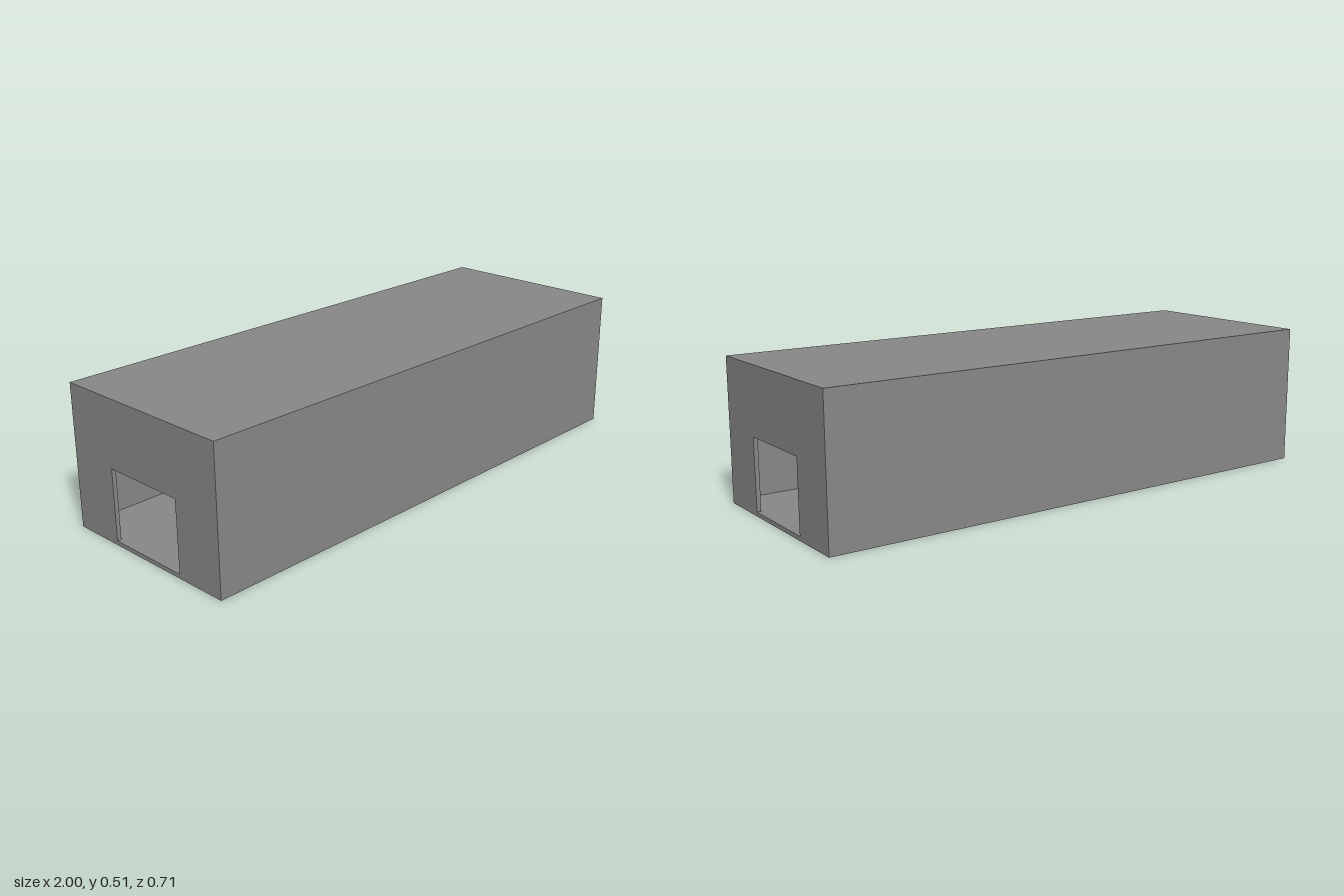
import * as THREE from 'three';

const L = 2, H = 0.515, W = 0.71, T = 0.015;

// rectangle outline centred on x, from height y0 to y1
function rect(Type, w, y0, y1) {
  const p = new Type();
  p.moveTo(-w / 2, y0);
  p.lineTo(w / 2, y0);
  p.lineTo(w / 2, y1);
  p.lineTo(-w / 2, y1);
  p.closePath();
  return p;
}

export function createModel() {
  const group = new THREE.Group();
  const material = new THREE.MeshStandardMaterial({ color: 0x878787 });

  function add(name, geometry, x, y, z) {
    const mesh = new THREE.Mesh(geometry, material);
    mesh.name = name;
    mesh.position.set(x, y, z);
    group.add(mesh);
  }

  // floor and flat roof
  add('floor', new THREE.BoxGeometry(L, T, W), 0, T / 2, 0);
  add('roof', new THREE.BoxGeometry(L, T, W), 0, H - T / 2, 0);

  // end wall outline with a wide doorway
  const endShape = rect(THREE.Shape, W - 2 * T, T, H - T);
  endShape.holes.push(rect(THREE.Path, 0.32, T, 0.271));
  const endWall = new THREE.ExtrudeGeometry(endShape, { depth: T, bevelEnabled: false });
  endWall.translate(0, 0, -T / 2).rotateY(Math.PI / 2);

  const sideWall = new THREE.BoxGeometry(L, H - 2 * T, T);

  // walkways of one width run around the inside, leaving the middle open
  const innerL = L - 2 * T, innerW = W - 2 * T;
  const walk = 0.125, walkY = 0.316 + T / 2;
  const sideWalkway = new THREE.BoxGeometry(innerL, T, walk);
  const endWalkway = new THREE.BoxGeometry(walk, T, innerW);

  for (const s of [1, -1]) {
    const side = s > 0 ? 'front' : 'back';
    const end = s > 0 ? 'left' : 'right';
    add(side + 'Wall', sideWall, 0, H / 2, s * (W - T) / 2);
    add(end + 'EndWall', endWall, s * (L - T) / 2, 0, 0);
    add(side + 'Walkway', sideWalkway, 0, walkY, s * (innerW - walk) / 2);
    add(end + 'Walkway', endWalkway, s * (innerL - walk) / 2, walkY, 0);
  }

  return group;
}
